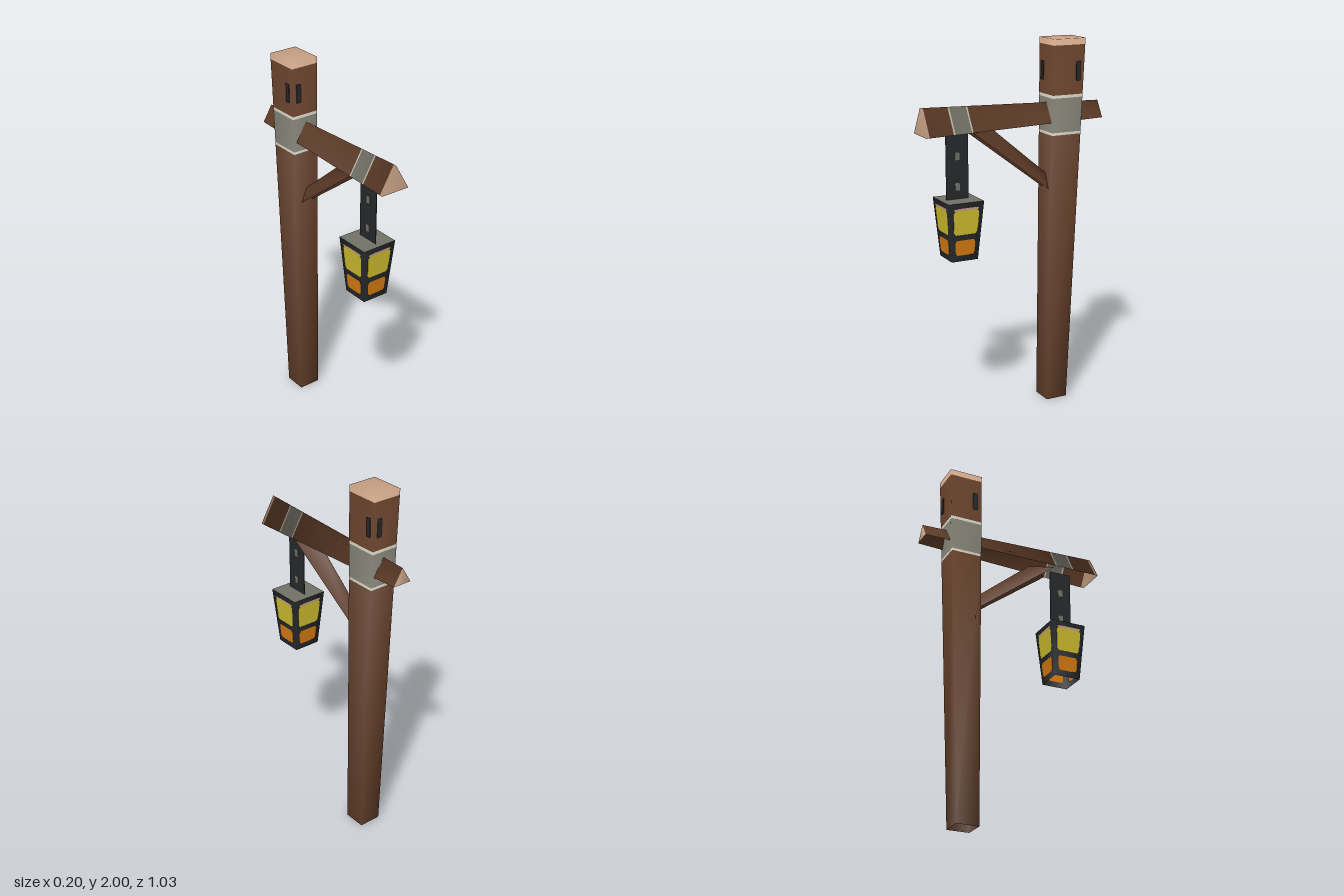
import * as THREE from 'three';

const paint = (name, color) =>
  new THREE.MeshStandardMaterial({ name, color, side: THREE.DoubleSide });

export function createModel() {
  const wood = paint('brown wood', 0x5c3a26);
  const cutWood = paint('pale cut wood', 0xc6a084);
  const strap = paint('grey strap', 0x727166);
  const trim = paint('light strap edge', 0xbab9aa);
  const iron = paint('dark iron', 0x26282a);
  const yellow = paint('yellow glass', 0xd0be2e);
  const orange = paint('orange glass', 0xd67c10);

  const model = new THREE.Group();
  model.name = 'lanternPost';
  const add = (name, geometry, material, parent = model) => {
    const mesh = new THREE.Mesh(geometry, material);
    mesh.name = name;
    parent.add(mesh);
    return mesh;
  };

  // Straight tapered shell from section a to section b, painted in bands.
  // bands: [end fraction, material]; capA / capB: optional end materials.
  function shell(name, a, b, closed, bands, capA, capB, parent) {
    const n = a.length;
    const stops = [0, ...bands.map((s) => s[0])];
    const points = stops.flatMap((t) =>
      a.map((p, i) => new THREE.Vector3(...p).lerp(new THREE.Vector3(...b[i]), t)));
    const geometry = new THREE.BufferGeometry().setFromPoints(points);
    const index = [];
    const materials = [];
    const paintFaces = (faces, material) => {
      geometry.addGroup(index.length, faces.length, materials.length);
      index.push(...faces);
      materials.push(material);
    };
    bands.forEach(([, material], r) => {
      const faces = [];
      for (let i = 0; i < (closed ? n : n - 1); i++) {
        const j = (i + 1) % n;
        const p = r * n + i, q = r * n + j;
        faces.push(p, q, q + n, p, q + n, p + n);
      }
      paintFaces(faces, material);
    });
    const last = (stops.length - 1) * n;
    for (let i = 1; i < n - 1; i++) {
      if (capA) paintFaces([0, i + 1, i], capA);
      if (capB) paintFaces([last, last + i, last + i + 1], capB);
    }
    geometry.setIndex(index);
    geometry.computeVertexNormals();
    // Blend the normals evenly from one end to the other
    const normal = geometry.attributes.normal;
    const from = new THREE.Vector3(), to = new THREE.Vector3();
    stops.forEach((t, r) => {
      if (r === 0 || r === stops.length - 1) return;
      for (let i = 0; i < n; i++) {
        from.fromBufferAttribute(normal, i);
        to.fromBufferAttribute(normal, last + i);
        from.lerp(to, t).normalize();
        normal.setXYZ(r * n + i, from.x, from.y, from.z);
      }
    });
    return add(name, geometry, materials, parent);
  }

  const square = (y, x0, x1, z0, z1) => [[x0, y, z1], [x1, y, z1], [x1, y, z0], [x0, y, z0]];
  const roof = (half, baseY, baseZ, topY, topZ) =>
    [[half, baseY, baseZ], [0, topY, topZ], [-half, baseY, baseZ]];

  // Post, wider at the top, with a strap and a pale cut end
  const height = (y, material) => [y / 2, material];
  shell('post', square(0, -0.065, 0.058, -0.312, -0.19), square(2, -0.083, 0.075, -0.393, -0.207),
    true, [height(1.496, wood), height(1.51, trim), height(1.692, strap), height(1.708, trim),
      height(1.967, wood), height(2, cutWood)], null, cutWood);

  // One dark slot on each post face
  [[-0.045, -0.205, 0], [0.0735, -0.352, 1], [0.037, -0.384, 0], [-0.0815, -0.245, 1]]
    .forEach(([x, z, turned]) => {
      const slot = add('postSlot', new THREE.BoxGeometry(0.025, 0.1, 0.008), iron);
      slot.position.set(x, 1.83, z);
      slot.rotation.y = turned * Math.PI / 2;
    });

  // Ridged beam, open underneath, with a strap where the lantern hangs
  const along = (z, material) => [(z + 0.517) / 1.034, material];
  shell('beam', roof(0.053, 1.568, -0.517, 1.655, -0.517), roof(0.082, 1.547, 0.517, 1.688, 0.517),
    false, [along(0.256, wood), along(0.264, trim), along(0.357, strap), along(0.366, trim),
      along(0.5, wood), along(0.517, cutWood)], cutWood, cutWood);

  // Diagonal brace under the beam
  shell('brace', roof(0.036, 1.2, -0.206, 1.283, -0.206), roof(0.065, 1.55, 0.254, 1.55, 0.116),
    false, [[1, wood]]);

  // Hanging plate with grey rivets on both faces
  const hanger = new THREE.Group();
  hanger.name = 'hanger';
  hanger.position.z = 0.317;
  model.add(hanger);
  add('hangerPlate', new THREE.BoxGeometry(0.004, 0.355, 0.126), iron, hanger).position.y = 1.375;
  for (const y of [1.425, 1.265])
    add('rivet', new THREE.BoxGeometry(0.008, 0.04, 0.026), strap, hanger).position.y = y;

  // Lantern: tapered frame, open below
  const lantern = new THREE.Group();
  lantern.name = 'lantern';
  lantern.position.z = 0.312;
  model.add(lantern);
  const bottom = 0.885, top = 1.2;
  const halfAt = (y) => 0.074 + 0.026 * (y - bottom) / (top - bottom);
  const ring = (y) => square(y, -halfAt(y), halfAt(y), -halfAt(y), halfAt(y));
  shell('lanternFrame', ring(bottom), ring(top), true, [[1, iron]], null, null, lantern);
  const lid = add('lanternLid', new THREE.PlaneGeometry(0.2, 0.2), strap, lantern);
  lid.rotation.x = -Math.PI / 2;
  lid.position.y = top;

  // Pane with clipped corners, laid on the sloping side at a small offset
  function pane(y0, y1, share, clip, offset) {
    const s = new THREE.Shape([
      [-1, y0 + clip], [-0.85, y0], [0.85, y0], [1, y0 + clip],
      [1, y1 - clip], [0.85, y1], [-0.85, y1], [-1, y1 - clip],
    ].map(([u, y]) => new THREE.Vector2(u * share * halfAt(y), y)));
    const geometry = new THREE.ShapeGeometry(s);
    const p = geometry.attributes.position;
    for (let i = 0; i < p.count; i++) p.setZ(i, halfAt(p.getY(i)) + offset);
    geometry.computeVertexNormals();
    return geometry;
  }

  // Panes on all four sides, seen from outside and inside
  for (let k = 0; k < 4; k++) {
    for (const offset of [0.002, -0.002]) {
      const panes = [
        add('upperPane', pane(1.03, 1.16, 0.76, 0.012, offset), yellow, lantern),
        add('lowerPane', pane(0.918, 1.0, 0.7, 0.014, offset), orange, lantern),
        add('paneEdge', pane(1.16, 1.173, 0.74, 0.003, offset), cutWood, lantern),
      ];
      panes.forEach((m) => { m.rotation.y = k * Math.PI / 2; });
    }
  }
  return model;
}
